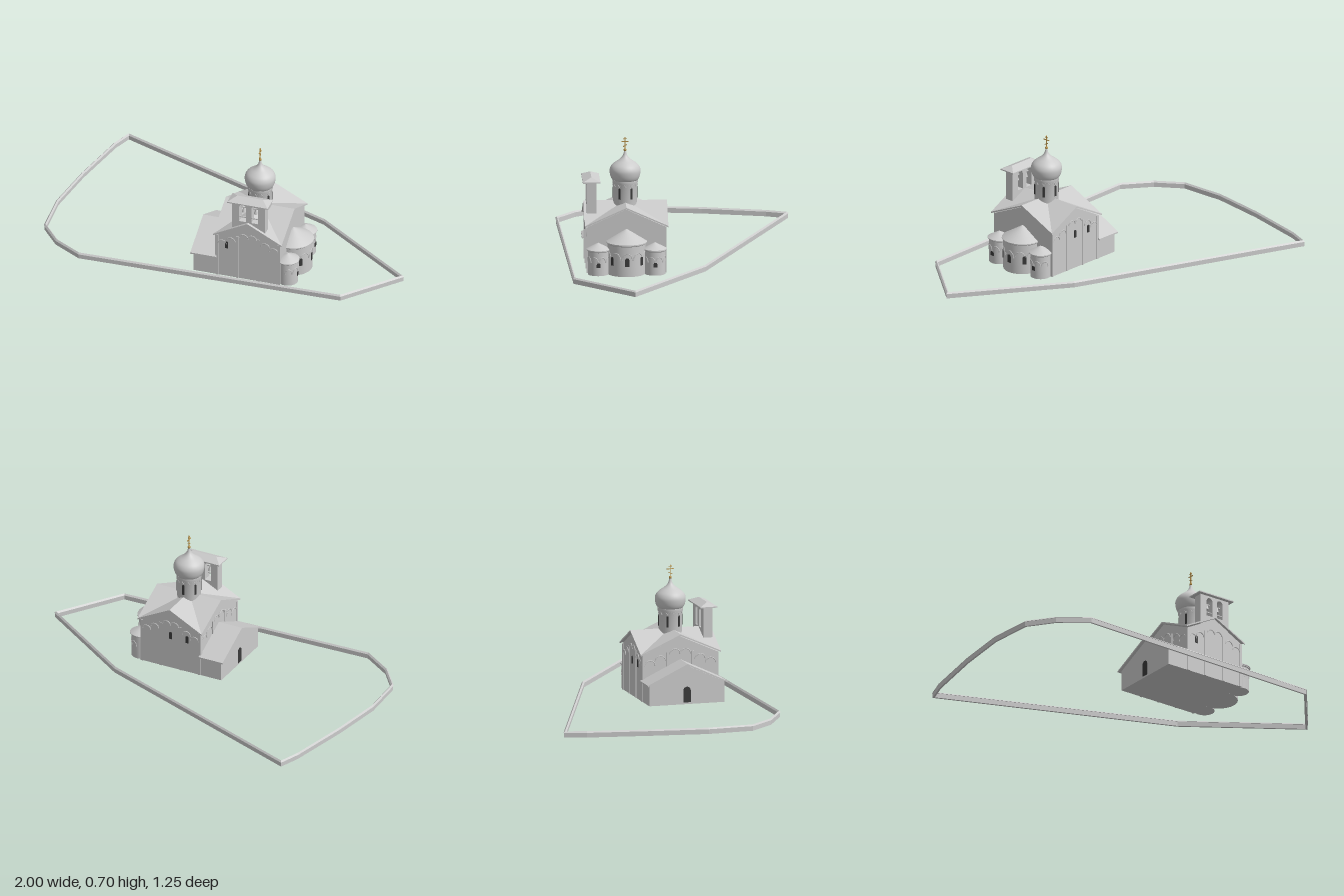
import * as THREE from 'three';
import { ConvexGeometry } from 'three/addons/geometries/ConvexGeometry.js';
import { toCreasedNormals } from 'three/addons/utils/BufferGeometryUtils.js';

const stone = new THREE.MeshStandardMaterial({ color: 0xcccccc });
const flat = new THREE.MeshStandardMaterial({ color: 0xcccccc, flatShading: true });
const dark = new THREE.MeshStandardMaterial({ color: 0x3a3a3a });
const gold = new THREE.MeshStandardMaterial({ color: 0xb8924a });
const V = (x, y, z) => new THREE.Vector3(x, y, z);

function add(parent, name, geo, mat, x = 0, y = 0, z = 0, ry = 0) {
  const m = new THREE.Mesh(geo, mat);
  m.name = name;
  m.position.set(x, y, z);
  m.rotation.y = ry;
  parent.add(m);
  return m;
}

const box = (w, h, d) => new THREE.BoxGeometry(w, h, d);

function extrude(shape, depth) {
  const g = new THREE.ExtrudeGeometry(shape, { depth, bevelEnabled: false, curveSegments: 8 });
  return g.translate(0, 0, -depth / 2);
}

// House-shaped section, extruded along z
function gableBody(halfW, eave, peak, depth) {
  const s = new THREE.Shape([[-halfW, 0], [halfW, 0], [halfW, eave], [0, peak], [-halfW, eave]]
    .map(p => new THREE.Vector2(...p)));
  return extrude(s, depth);
}

// Round-headed outline with its sill at y
function archPath(Type, x, y, w, h) {
  const p = new Type(), r = w / 2;
  p.moveTo(x - r, y);
  p.lineTo(x + r, y);
  p.lineTo(x + r, y + h - r);
  p.absarc(x, y + h - r, r, 0, Math.PI, false);
  p.closePath();
  return p;
}

const windowGeo = (w, h) => extrude(archPath(THREE.Shape, 0, 0, w, h), 0.005);

// Row of raised arches wrapped around a cylinder
function arcade(parent, r, y, rise, from, to, n, thick) {
  const step = (to - from) / n;
  for (let i = 0; i < n; i++) {
    const pts = [];
    for (let k = 0; k <= 8; k++) {
      const t = Math.PI * k / 8, a = from + step * (i + 0.5 - 0.45 * Math.cos(t));
      pts.push(V(r * Math.sin(a), y + rise * Math.sin(t), r * Math.cos(a)));
    }
    add(parent, 'arcadeArch', new THREE.TubeGeometry(new THREE.CatmullRomCurve3(pts), 12, thick, 5), stone);
  }
}

function lathe(points, segs = 32) {
  const g = new THREE.LatheGeometry(points.map(p => new THREE.Vector2(...p)), segs);
  return toCreasedNormals(g, 0.6);
}

function createApse(name, r, wallTop, peak, windows, arches) {
  const g = new THREE.Group();
  g.name = name;
  add(g, 'apseWall', lathe([[0, 0], [r, 0], [r, wallTop - 0.012], [r + 0.004, wallTop - 0.008], [r + 0.004, wallTop]]), stone);
  add(g, 'apseRoof', lathe([[0, wallTop - 0.004], [r + 0.008, wallTop - 0.004], [r + 0.008, wallTop], [0, peak]]), stone);
  arcade(g, r, wallTop * 0.5, wallTop * 0.22, 0, Math.PI, arches, 0.0028);
  for (const [a, y, w, h] of windows)
    add(g, 'apseWindow', windowGeo(w, h), dark, r * Math.sin(a), y, r * Math.cos(a), a);
  return g;
}

// Facade with pilaster strips, stepped gable arches and a window
function createFacade(name, half, windows, x, z, ry) {
  const g = new THREE.Group();
  g.name = name;
  g.position.set(x, 0, z);
  g.rotation.y = ry;
  const bay = half * 2 / 3;
  for (const s of [-1, 1]) {
    add(g, 'cornerPilaster', box(0.014, 0.25, 0.006), stone, s * (half - 0.007), 0.125, 0.001);
    add(g, 'innerPilaster', box(0.012, 0.262, 0.006), stone, s * bay / 2, 0.131, 0.001);
  }
  for (const i of [-1, 0, 1]) {
    const r = bay / 2 - 0.012;
    for (const s of [-1, 1]) {
      const arch = new THREE.TorusGeometry(r / 2, 0.003, 5, 10, Math.PI);
      add(g, 'gableArch', arch, stone, i * bay + s * r / 2, 0.29 - Math.abs(i * bay + s * r / 2) * 0.085 / half - r / 2, 0.002);
    }
  }
  for (const [wx, wy] of windows) add(g, 'facadeWindow', windowGeo(0.017, 0.042), dark, wx, wy, 0.001);
  return g;
}

function createChurch() {
  const c = new THREE.Group();
  c.name = 'church';
  c.position.set(0.195, 0, 0.287);
  const W = 0.18, D = 0.21;

  // Crossed gable walls
  add(c, 'naveWalls', gableBody(W, 0.25, 0.345, D * 2), flat);
  add(c, 'crossWalls', gableBody(D, 0.25, 0.345, W * 2), flat, 0, 0, 0, Math.PI / 2);
  c.add(createFacade('southFacade', W, [[-0.12, 0.175]], 0, D, 0));
  c.add(createFacade('northFacade', W, [[0.1, 0.175], [0, 0.175]], 0, -D, Math.PI));
  c.add(createFacade('westFacade', D, [], -W, 0, -Math.PI / 2));

  // Eight roof planes meeting at the valleys
  const rx = 0.193, rz = 0.224, hi = 0.357, lo = 0.257, t = 0.008;
  for (const sx of [-1, 1]) for (const sz of [-1, 1])
    for (const mid of [V(sx * rx, hi, 0), V(0, hi, sz * rz)]) {
      const top = [V(0, hi, 0), mid, V(sx * rx, lo, sz * rz)];
      const low = top.map(p => p.clone().setY(p.y - t));
      add(c, 'roofPlane', new ConvexGeometry([...top, ...low]), flat);
    }

  // West annex
  add(c, 'annexWalls', gableBody(D, 0.112, 0.21, 0.135), flat, -0.2375, 0, 0, Math.PI / 2);
  const ch = new THREE.Shape([[-0.223, 0.115], [0, 0.221], [0.223, 0.115], [0.223, 0.107], [0, 0.212], [-0.223, 0.107]]
    .map(p => new THREE.Vector2(...p)));
  add(c, 'annexRoof', extrude(ch, 0.145), flat, -0.2475, 0, 0, Math.PI / 2);
  add(c, 'annexDoor', windowGeo(0.04, 0.085), dark, -0.305, 0.01, 0, Math.PI / 2);

  // East apses
  const mainApse = createApse('mainApse', 0.102, 0.175, 0.242,
    [[Math.PI / 2, 0.057, 0.022, 0.046], [0.7, 0.057, 0.02, 0.046], [Math.PI - 0.7, 0.057, 0.02, 0.046]], 5);
  mainApse.position.x = 0.187;
  c.add(mainApse);
  for (const s of [-1, 1]) {
    const a = createApse('sideApse', 0.055, 0.138, 0.172, [[Math.PI / 2, 0.045, 0.02, 0.026]], 4);
    a.position.set(0.205, 0, s * 0.152);
    c.add(a);
  }

  // Drum, onion dome and cross
  add(c, 'drum', lathe([[0.064, 0.26], [0.064, 0.445], [0.068, 0.455], [0.068, 0.47], [0, 0.47]]), stone);
  arcade(c, 0.065, 0.437, 0.016, 0, Math.PI * 2, 12, 0.002);
  for (let i = 0; i < 6; i++) {
    const a = Math.PI / 3 * i;
    add(c, 'drumWindow', windowGeo(0.012, 0.06), dark, 0.064 * Math.sin(a), 0.372, 0.064 * Math.cos(a), a);
  }
  const onion = [[0.062, 0.466], [0.071, 0.474], [0.079, 0.492], [0.083, 0.515], [0.081, 0.532], [0.072, 0.549],
    [0.055, 0.564], [0.036, 0.577], [0.02, 0.591], [0.01, 0.607], [0.005, 0.628]];
  const curve = new THREE.SplineCurve(onion.map(p => new THREE.Vector2(...p)));
  add(c, 'onionDome', new THREE.LatheGeometry(curve.getPoints(30), 32), stone);
  add(c, 'crossBall', new THREE.SphereGeometry(0.008, 12, 8), gold, 0, 0.632, 0);
  add(c, 'crossPost', box(0.004, 0.072, 0.004), gold, 0, 0.666, 0);
  add(c, 'crossTopBar', box(0.004, 0.004, 0.02), gold, 0, 0.692, 0);
  add(c, 'crossMainBar', box(0.004, 0.004, 0.038), gold, 0, 0.678, 0);
  add(c, 'crossSlantBar', box(0.004, 0.004, 0.024), gold, 0, 0.655, 0).rotation.x = 0.5;

  c.add(createBelfry());
  return c;
}

function createBelfry() {
  const b = new THREE.Group();
  b.name = 'belfry';
  b.position.set(0.003, 0, 0.183);
  // Wall with two round-headed openings
  const wall = new THREE.Shape([[-0.093, 0.3], [0.093, 0.3], [0.093, 0.478], [-0.093, 0.478]]
    .map(p => new THREE.Vector2(...p)));
  const bell = [[0, 0.028], [0.005, 0.027], [0.007, 0.015], [0.012, 0]].reverse();
  for (const x of [-0.034, 0.034]) {
    wall.holes.push(archPath(THREE.Path, x, 0.358, 0.038, 0.106));
    add(b, 'bellBeam', box(0.04, 0.005, 0.006), stone, x, 0.435, 0);
    add(b, 'bell', lathe([[0, 0.002], ...bell], 16), stone, x, 0.406, 0);
    add(b, 'openingRail', box(0.04, 0.005, 0.006), stone, x, 0.382, 0.015);
  }
  add(b, 'belfryWall', extrude(wall, 0.051), flat);
  // Hipped roof
  const pts = [];
  for (const sx of [-1, 1]) {
    pts.push(V(sx * 0.072, 0.5, 0));
    for (const sz of [-1, 1]) pts.push(V(sx * 0.113, 0.48, sz * 0.047), V(sx * 0.113, 0.474, sz * 0.047));
  }
  add(b, 'belfryRoof', new ConvexGeometry(pts), flat);
  return b;
}

// Closed ring swept along a path of [x, base height, z]; section is [offset, height]
function sweepRing(path, section) {
  const pos = [], idx = [], n = path.length, m = section.length;
  const dir = (a, b) => new THREE.Vector2(b[0] - a[0], b[2] - a[2]).normalize();
  path.forEach((p, i) => {
    const d0 = dir(path[(i + n - 1) % n], p), d1 = dir(p, path[(i + 1) % n]);
    const normal = new THREE.Vector2(-d0.y - d1.y, d0.x + d1.x).normalize();
    const miter = 1 / (normal.x * -d0.y + normal.y * d0.x);
    for (const [o, h] of section) pos.push(p[0] + normal.x * o * miter, p[1] + h, p[2] + normal.y * o * miter);
    for (let k = 0; k < m; k++) {
      const a = i * m + k, b = i * m + (k + 1) % m, c = ((i + 1) % n) * m + k, d = ((i + 1) % n) * m + (k + 1) % m;
      idx.push(a, c, b, b, c, d);
    }
  });
  const g = new THREE.BufferGeometry();
  g.setAttribute('position', new THREE.Float32BufferAttribute(pos, 3));
  g.setIndex(idx);
  const out = g.toNonIndexed();
  out.computeVertexNormals();
  return out;
}

export function createModel() {
  const model = new THREE.Group();
  model.name = 'walledChurch';
  model.add(createChurch());

  // Perimeter wall with a slightly wider coping
  const path = [[-0.84, 0.013, -0.62], [0.42, 0.014, -0.13], [0.985, 0.007, 0.265], [0.74, 0.026, 0.58],
    [-0.715, 0.028, 0.615], [-0.875, 0.022, 0.515], [-0.98, 0.018, 0.385], [-0.993, 0.018, 0.135],
    [-0.95, 0.018, -0.17], [-0.88, 0.015, -0.51]];
  const fence = new THREE.Group();
  fence.name = 'perimeterWall';
  const mat = flat.clone();
  mat.side = THREE.DoubleSide;
  add(fence, 'wallBody', sweepRing(path, [[-0.005, 0], [0.005, 0], [0.005, 0.028], [-0.005, 0.028]]), mat);
  add(fence, 'wallCoping', sweepRing(path, [[-0.008, 0.026], [0.008, 0.026], [0, 0.034]]), mat);
  model.add(fence);
  return model;
}
